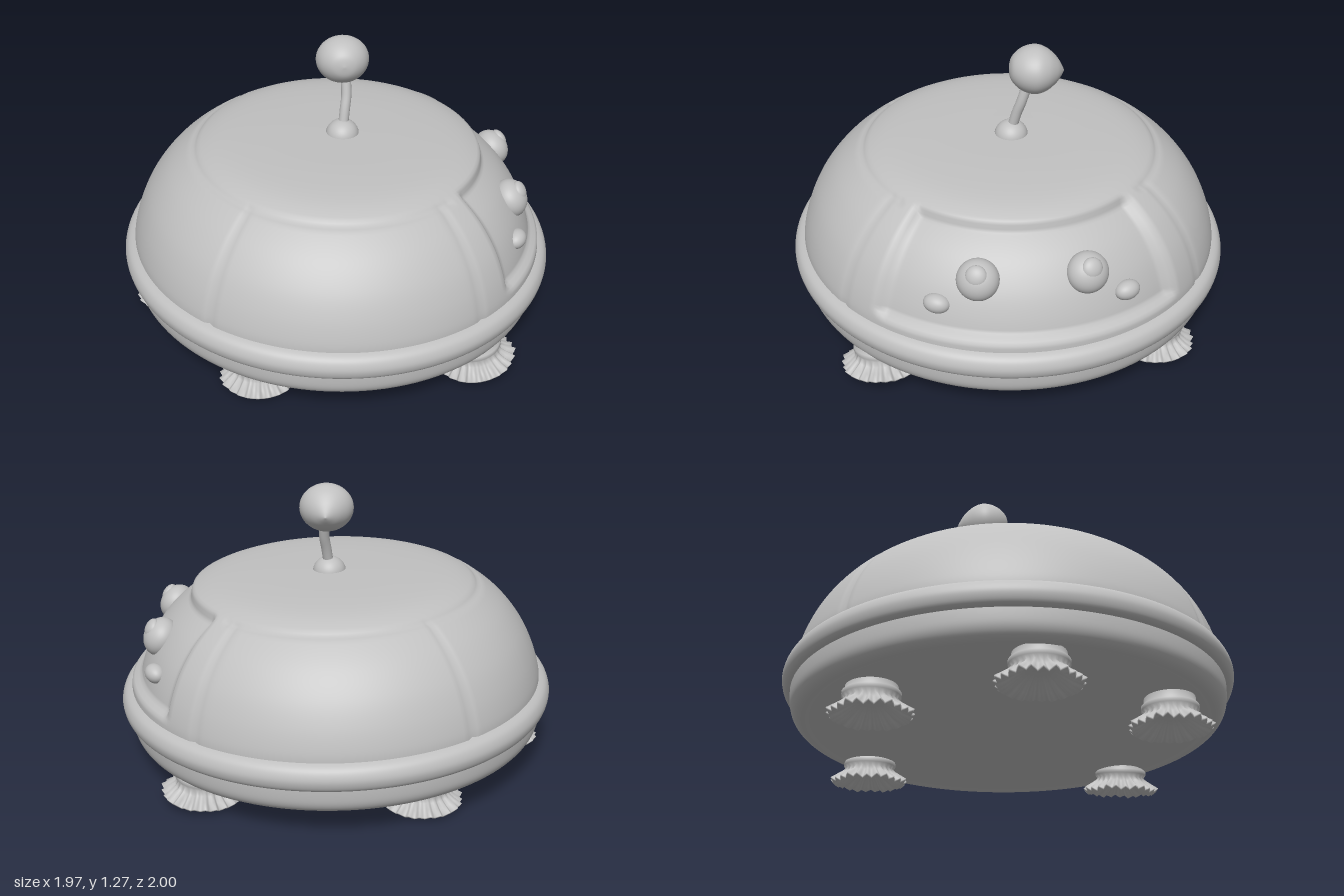
import * as THREE from 'three';
import { mergeVertices } from 'three/addons/utils/BufferGeometryUtils.js';

const shell = new THREE.MeshStandardMaterial({ color: 0xc0c0c0, side: THREE.DoubleSide });
shell.name = 'light grey';

const step = THREE.MathUtils.smoothstep;
const v2 = (pts) => pts.map(([r, y]) => new THREE.Vector2(r, y));

function add(parent, name, geometry) {
  const mesh = new THREE.Mesh(geometry, shell);
  mesh.name = name;
  parent.add(mesh);
  return mesh;
}

// Turned surface, welded at the seam, with an optional rule that moves its vertices
function turned(points, segments, rule) {
  let g = new THREE.LatheGeometry(points, segments);
  g.deleteAttribute('uv');
  g.deleteAttribute('normal');
  g = mergeVertices(g, 1e-4);
  if (rule) {
    const p = g.attributes.position;
    const v = new THREE.Vector3();
    for (let i = 0; i < p.count; i++) {
      v.fromBufferAttribute(p, i);
      rule(v);
      p.setXYZ(i, v.x, v.y, v.z);
    }
  }
  g.computeVertexNormals();
  return g;
}

// Dome with a sunken face on +x and shallow seams between the side panels
function domeGeometry() {
  const curve = new THREE.SplineCurve(v2([
    [0.95, 0.33], [0.945, 0.4], [0.915, 0.5], [0.865, 0.6], [0.79, 0.695],
    [0.7, 0.77], [0.62, 0.815], [0.52, 0.84], [0.35, 0.853], [0.15, 0.857], [0, 0.858],
  ]));
  const seams = [0.95, 2.25, -2.25, -0.95];
  return turned(curve.getSpacedPoints(90), 240, (v) => {
    const r = Math.hypot(v.x, v.z);
    if (r < 0.01) return;
    const a = Math.atan2(v.z, v.x);
    const inFace = Math.abs(a) < 0.85;
    let depth = 0;
    // Face recess with soft edges
    depth += 0.035 * (1 - step(Math.abs(a), 0.70, 0.76)) * step(r, 0.64, 0.68) * step(v.y, 0.4, 0.44);
    // Panel seams and the edge of the lid
    for (const s of seams) {
      const d = Math.abs(a - s) * r;
      depth += 0.008 * (1 - step(d, 0, 0.022)) * step(r, 0.64, 0.69);
    }
    if (!inFace) depth += 0.007 * (1 - step(Math.abs(r - 0.665), 0, 0.022));
    // Push in along the dome's slope
    const up = 1 - step(r, 0.55, 0.95);
    v.x -= (v.x / r) * depth * (1 - 0.5 * up);
    v.z -= (v.z / r) * depth * (1 - 0.5 * up);
    v.y -= depth * (0.3 + 0.7 * up);
  });
}

// Pleated suction cup: hollow below, collar above
function footGeometry() {
  const profile = v2([
    [0, 0.085], [0.05, 0.08], [0.09, 0.06], [0.13, 0.035], [0.168, 0.018],
    [0.172, 0.026], [0.145, 0.045], [0.122, 0.065], [0.112, 0.085],
    [0.122, 0.1], [0.122, 0.118], [0.11, 0.13], [0.108, 0.16],
  ]);
  return turned(profile, 96, (v) => {
    const r = Math.hypot(v.x, v.z);
    if (r < 0.01) return;
    const a = Math.atan2(v.z, v.x);
    const w = step(r, 0.04, 0.17) * (1 - step(v.y, 0.06, 0.085));
    const pleat = Math.sin(a * 24) + 0.5 * Math.sin(a * 7 + 1);
    const k = 1 + 0.045 * w * pleat;
    v.x *= k;
    v.z *= k;
    v.y += 0.007 * w * pleat;
  });
}

export function createModel() {
  const model = new THREE.Group();
  model.name = 'domeRobot';

  // Body leans very slightly toward the face
  const body = new THREE.Group();
  body.name = 'body';
  body.rotation.set(-0.008, 0, -0.023);
  body.scale.x = 0.988;
  model.add(body);

  add(body, 'dome', domeGeometry());

  const base = new THREE.SplineCurve(v2([
    [0.87, 0.14], [0.9, 0.132], [0.932, 0.147], [0.953, 0.18], [0.96, 0.23], [0.96, 0.3],
  ])).getPoints(24);
  add(body, 'base', turned([new THREE.Vector2(0, 0.14), ...base], 128));

  // Rounded bumper band
  const band = new THREE.SplineCurve(v2([
    [0.93, 0.255], [0.965, 0.252], [0.988, 0.268], [0.998, 0.305],
    [0.988, 0.34], [0.968, 0.36], [0.935, 0.372],
  ])).getPoints(28);
  add(body, 'bumper', turned(band, 128));

  // Face: eyes and cheeks, each a flattened ball turned to follow the dome
  const ball = new THREE.SphereGeometry(1, 40, 28);
  const bump = (name, x, y, z, w, h, d) => {
    const holder = new THREE.Group();
    holder.name = name;
    holder.position.set(x, y, z);
    holder.rotation.order = 'YXZ';
    holder.rotation.set(-0.5, Math.atan2(x, z), 0);
    model.add(holder);
    add(holder, name + 'Ball', ball).scale.set(w, h, d);
    return holder;
  };
  for (const [side, s] of [['right', 1], ['left', -1]]) {
    const eye = bump(side + 'Eye', 0.775, 0.605, s * 0.225 - 0.015, 0.09, 0.088, 0.075);
    const pupil = add(eye, side + 'Pupil', ball);
    pupil.position.set(0, 0.02, 0.055);
    pupil.scale.set(0.045, 0.045, 0.027);
    bump(side + 'Cheek', 0.775, 0.5, s * 0.395 - 0.015, 0.058, 0.042, 0.045);
  }

  // Antenna: socket, bent stem and a ball drawn to a point at the back
  const antenna = new THREE.Group();
  antenna.name = 'antenna';
  model.add(antenna);
  const socket = add(antenna, 'antennaSocket', ball);
  socket.position.set(0.035, 0.845, -0.012);
  socket.scale.set(0.075, 0.07, 0.075);
  const stem = new THREE.CatmullRomCurve3([
    new THREE.Vector3(0.038, 0.88, -0.015), new THREE.Vector3(0.048, 0.96, -0.035),
    new THREE.Vector3(0.056, 1.02, -0.055), new THREE.Vector3(0.054, 1.12, -0.085),
  ]);
  add(antenna, 'antennaStem', new THREE.TubeGeometry(stem, 20, 0.023, 16));
  const tip = new THREE.SplineCurve(v2([
    [0, -0.112], [0.055, -0.1], [0.1, -0.058], [0.119, 0], [0.104, 0.05],
    [0.068, 0.092], [0.03, 0.118], [0, 0.132],
  ])).getPoints(40);
  const knob = add(antenna, 'antennaKnob', turned(tip, 48));
  knob.position.set(0.043, 1.17, -0.112);
  knob.rotation.x = -Math.PI / 2 - 0.1;
  knob.scale.z = 0.9;

  // Five suction feet: x, z, lift, lean
  const foot = footGeometry();
  const feet = [
    [-0.77, 0.02, 0.01, 0], [-0.38, 0.63, 0, 0], [-0.38, -0.61, 0, 0],
    [0.58, 0.62, 0.02, 0.17], [0.56, -0.6, 0.01, 0.08],
  ];
  feet.forEach(([x, z, lift, lean], i) => {
    const mesh = add(model, 'foot' + (i + 1), foot);
    mesh.position.set(x, lift, z);
    mesh.rotation.set(0, 0, lean);
  });

  return model;
}
